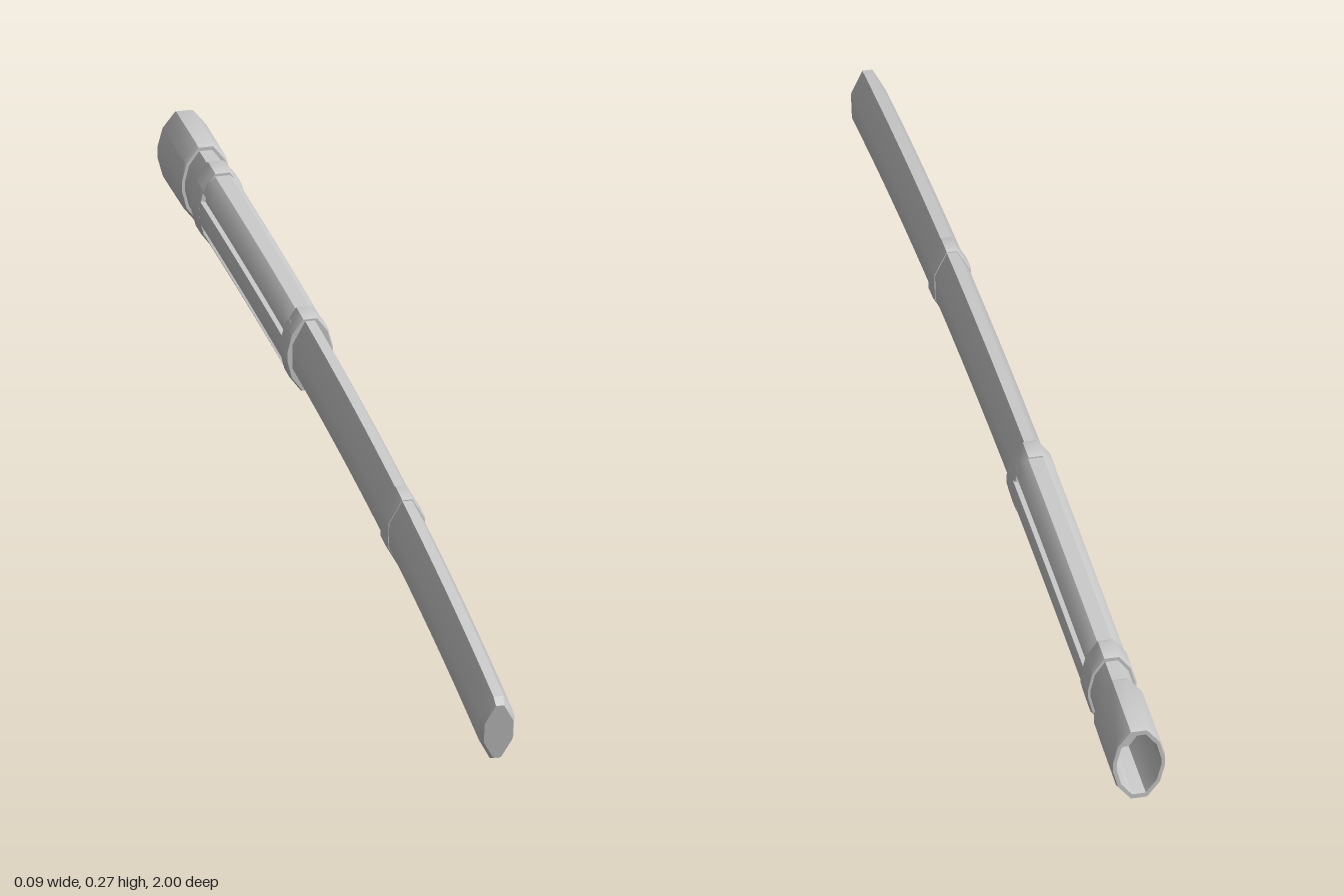
import * as THREE from 'three';
import { toCreasedNormals } from 'three/addons/utils/BufferGeometryUtils.js';

const material = new THREE.MeshStandardMaterial({ color: 0xcccccc });

// Centre line of the curved scabbard: height and slope at z
const curveY = z => 0.205 - 0.0333 * Math.pow(Math.max(0, z + 0.8), 2.5);
const slope = z => -0.0833 * Math.pow(Math.max(0, z + 0.8), 1.5);

// Mirror a quarter outline (from +x side up to the top) into a closed loop
function mirrored(quarter) {
  const right = [...quarter.slice().reverse().map(([x, y]) => [x, -y]), ...quarter];
  const left = right.slice().reverse().map(([x, y]) => [-x, y]);
  return [...right, ...left];
}

const bladeOutline = mirrored([[0.028, 0.021], [0.008, 0.059]]);
// Grip outline with a groove at each upper and lower side
const gripOutline = mirrored([
  [0.038, 0.005], [0.036, 0.019], [0.025, 0.019], [0.022, 0.031], [0.032, 0.034], [0.025, 0.048], [0.012, 0.06],
]);
// Unit outline of the collars
const ovalOutline = mirrored([[1, 0.12], [0.8, 0.6], [0.31, 1]]);

// Loft rings [z, scaleX, scaleY] of one outline along the centre line, front to back
function loft(name, outline, rings, capFront, capBack) {
  const n = outline.length;
  const place = (x, y, z) => {
    const s = slope(z), len = Math.hypot(1, s);
    return [x, curveY(z) + y / len, z - (y * s) / len];
  };
  const pts = rings.map(([z, sx, sy]) => outline.map(([x, y]) => place(x * sx, y * sy, z)));
  const v = [];
  for (let i = 0; i + 1 < pts.length; i++) {
    for (let j = 0; j < n; j++) {
      const k = (j + 1) % n;
      const a = pts[i][j], b = pts[i][k], c = pts[i + 1][j], d = pts[i + 1][k];
      v.push(...a, ...c, ...b, ...b, ...c, ...d);
    }
  }
  const cap = (ring, z, flip) => {
    const o = place(0, 0, z);
    for (let j = 0; j < n; j++) {
      const a = ring[j], b = ring[(j + 1) % n];
      v.push(...o, ...(flip ? b : a), ...(flip ? a : b));
    }
  };
  if (capFront) cap(pts[0], rings[0][0], false);
  if (capBack) cap(pts.at(-1), rings.at(-1)[0], true);
  const geometry = new THREE.BufferGeometry();
  geometry.setAttribute('position', new THREE.Float32BufferAttribute(v, 3));
  const mesh = new THREE.Mesh(toCreasedNormals(geometry, 0.55), material);
  mesh.name = name;
  return mesh;
}

// Chamfered band wrapped around the sheath
function band(name, z, half, w, h, outline = ovalOutline) {
  const c = 0.006;
  return loft(name, outline, [
    [z + half, w * 0.82, h * 0.88], [z + half, w * 0.93, h * 0.96], [z + half - c, w, h],
    [z - half + c, w, h], [z - half, w * 0.93, h * 0.96], [z - half, w * 0.82, h * 0.88],
  ], true, true);
}

export function createModel() {
  const group = new THREE.Group();
  group.name = 'scabbard';

  // Long curved body with a chamfered tip
  const body = [[0.987, 0.83, 0.84], [0.975, 1, 1]];
  for (let i = 1; i <= 24; i++) body.push([0.975 - (1.755 * i) / 24, 1, 1]);
  group.add(loft('body', bladeOutline, body, true, true));

  // Thicker grooved section
  const grip = [];
  for (let i = 0; i <= 8; i++) grip.push([-0.225 - (0.55 * i) / 8, 1, 1]);
  group.add(loft('groovedSection', gripOutline, grip, false, false));

  // Bands
  group.add(band('middleBand', 0.383, 0.022, 1.12, 1.07, bladeOutline));
  group.add(band('frontBand', -0.225, 0.022, 0.039, 0.065));
  group.add(band('rearBand', -0.777, 0.024, 0.041, 0.067));

  // Neck behind the rear band
  group.add(loft('neck', ovalOutline, [
    [-0.79, 0.034, 0.058], [-0.87, 0.034, 0.058],
  ], true, false));

  // Hollow mouth collar
  group.add(loft('mouthCollar', ovalOutline, [
    [-0.858, 0.03, 0.052], [-0.858, 0.039, 0.064], [-0.866, 0.043, 0.068],
    [-0.992, 0.044, 0.068], [-1, 0.042, 0.065], [-1, 0.036, 0.057],
    [-0.992, 0.034, 0.055], [-0.88, 0.032, 0.053],
  ], true, true));

  return group;
}
